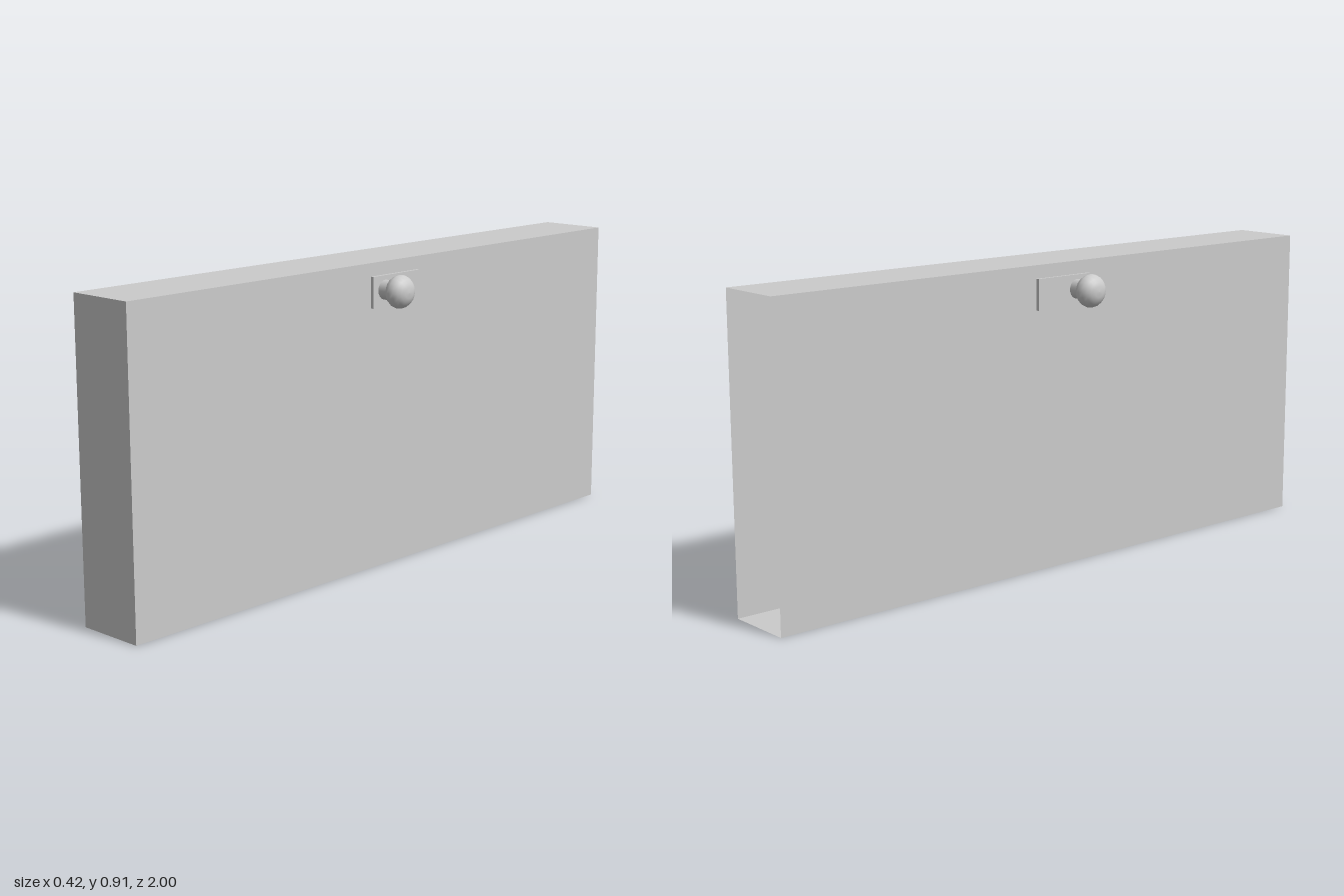
import * as THREE from 'three';

const material = new THREE.MeshStandardMaterial({ color: 0xcccccc });
const shellMaterial = new THREE.MeshStandardMaterial({ color: 0xcccccc, side: THREE.DoubleSide });

function addMesh(parent, name, geometry, x, y, z, mat = material) {
  const mesh = new THREE.Mesh(geometry, mat);
  mesh.name = name;
  mesh.position.set(x, y, z);
  parent.add(mesh);
  return mesh;
}

export function createModel() {
  const model = new THREE.Group();
  model.name = 'panelWithKnobs';

  // Thin hollow panel: a box whose last face (the back, -z) is left open
  const shell = new THREE.BoxGeometry(0.21, 0.91, 2);
  shell.setIndex(Array.from(shell.index.array).slice(0, 30));
  shell.clearGroups();
  addMesh(model, 'panel', shell, 0, 0.455, 0, shellMaterial);

  // Knob profile (radius, distance from the panel's centre)
  const profile = [
    [0.017, 0.141], [0.03, 0.145], [0.041, 0.153], [0.047, 0.163], [0.049, 0.173],
    [0.046, 0.185], [0.038, 0.196], [0.028, 0.203], [0.016, 0.208], [0, 0.209],
  ].map(([r, d]) => new THREE.Vector2(r, d));

  // A backplate, stem and knob on each side
  for (const side of [1, -1]) {
    const handle = new THREE.Group();
    handle.name = side > 0 ? 'leftHandle' : 'rightHandle';
    model.add(handle);

    addMesh(handle, 'backplate', new THREE.BoxGeometry(0.012, 0.092, 0.2), side * 0.109, 0.825, 0);

    const stem = new THREE.CylinderGeometry(0.029, 0.029, 0.04, 20);
    addMesh(handle, 'stem', stem, side * 0.132, 0.829, 0.05).rotation.z = -side * Math.PI / 2;

    const knob = new THREE.LatheGeometry(profile, 20);
    addMesh(handle, 'knob', knob, 0, 0.829, 0.05).rotation.z = -side * Math.PI / 2;
  }
  return model;
}
